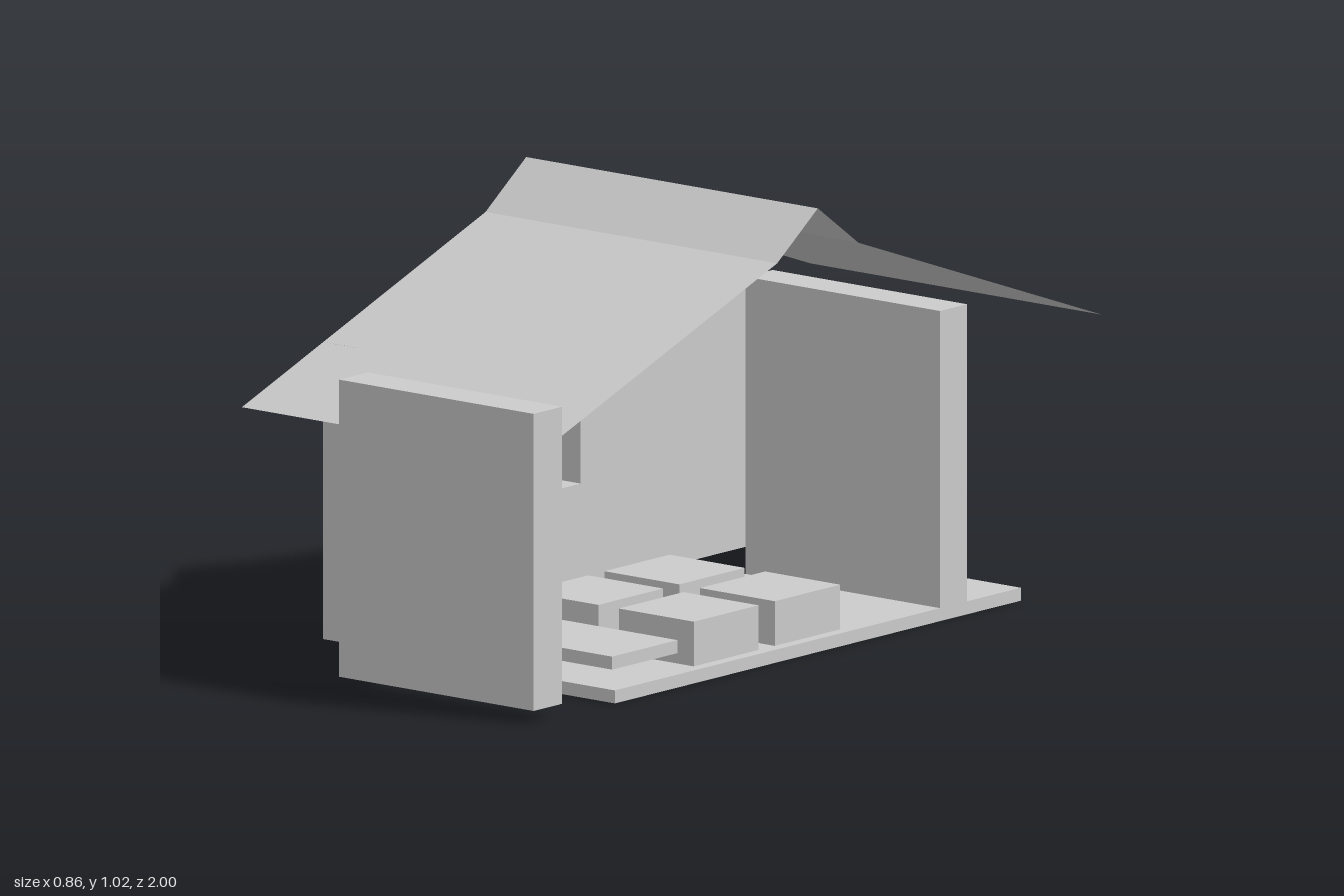
import * as THREE from 'three';

export function createModel() {
  const model = new THREE.Group();
  model.name = 'openHouse';

  const grey = new THREE.MeshStandardMaterial({ color: 0xcccccc });
  grey.name = 'plain grey';
  grey.side = THREE.DoubleSide;

  const add = (name, geometry) => {
    const mesh = new THREE.Mesh(geometry, grey);
    mesh.name = name;
    model.add(mesh);
    return mesh;
  };
  // Box given by its extents on each axis
  const block = (name, [x0, x1], [y0, y1], [z0, z1]) =>
    add(name, new THREE.BoxGeometry(x1 - x0, y1 - y0, z1 - z0))
      .position.set((x0 + x1) / 2, (y0 + y1) / 2, (z0 + z1) / 2);

  const FLOOR = 0.03, TOP = 0.715, HALF = 0.428;
  const room = [-0.143, HALF];

  // Floor, free-standing front panel and cross wall
  block('floor', room, [0, FLOOR], [-0.714, 0.714]);
  block('frontPanel', room, [FLOOR, TOP], [0.9, 1]);
  block('crossWall', room, [FLOOR, TOP], [-0.525, -0.43]);

  // Side wall with a window, drawn in z-y and extruded along x
  const wall = new THREE.Shape();
  wall.moveTo(-0.714, FLOOR).lineTo(0.714, FLOOR).lineTo(0.714, TOP).lineTo(-0.714, TOP).closePath();
  const window = new THREE.Path();
  window.moveTo(-0.072, 0.272).lineTo(-0.072, 0.55).lineTo(0.072, 0.55).lineTo(0.072, 0.272).closePath();
  wall.holes.push(window);
  const wallGeometry = new THREE.ExtrudeGeometry(wall, { depth: 0.1, bevelEnabled: false });
  wallGeometry.rotateY(-Math.PI / 2);
  add('sideWall', wallGeometry).position.x = -HALF + 0.1;

  // Two rows of seats and a low bench
  for (const x of [[-0.1, 0.12], [0.18, 0.4]]) {
    block('rearSeat', x, [FLOOR, 0.133], [-0.112, 0.118]);
    block('middleSeat', x, [FLOOR, 0.133], [0.175, 0.403]);
  }
  block('bench', [-0.1, 0.4], [0.07, 0.1], [0.46, 0.69]);

  // Thin roof sheets: a steep strip at the ridge and a long slope on each side
  const sheet = (name, [za, ya], [zb, yb]) => {
    const g = new THREE.PlaneGeometry(2 * HALF, Math.hypot(zb - za, yb - ya));
    g.rotateX(-Math.PI / 2);
    g.rotateX(Math.atan2(ya - yb, zb - za));
    add(name, g).position.set(0, (ya + yb) / 2, (za + zb) / 2);
  };
  const ridge = [0, 1.023], bend = 0.92, eave = 0.612;
  sheet('frontRidgeStrip', ridge, [0.143, bend]);
  sheet('frontRoofSlope', [0.143, bend], [1, eave]);
  sheet('backRidgeStrip', [-0.143, bend], ridge);
  sheet('backRoofSlope', [-1, eave], [-0.143, bend]);

  return model;
}
